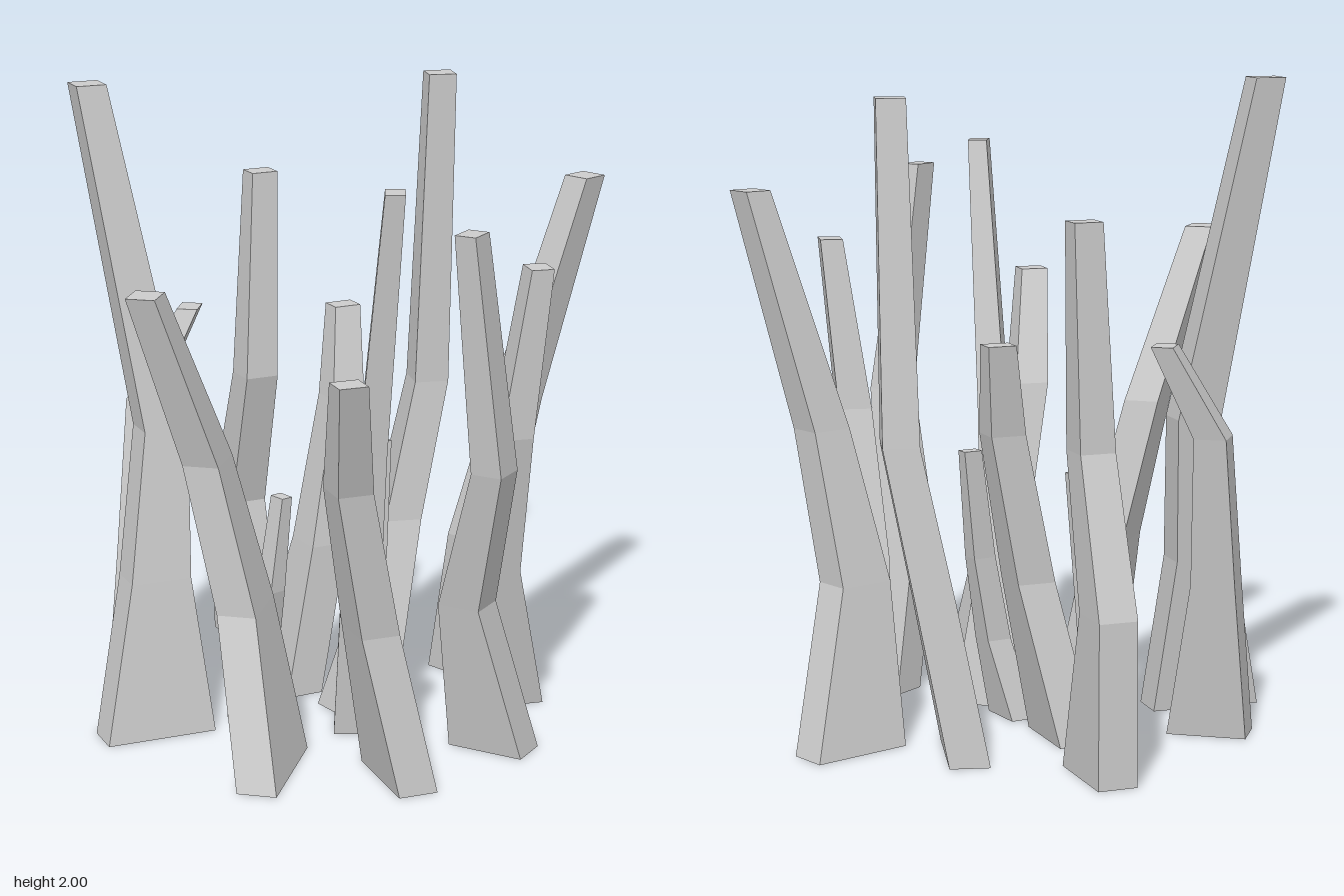
import * as THREE from 'three';

// Share of the base length and width kept at each of the four levels
const LENGTH_TAPER = [1, 0.55, 0.4, 0.27];
const WIDTH_TAPER = [1, 0.98, 0.9, 0.72];

// Each blade: height, turn of its long base side, base length, bow of the lower
// bend along that side, then [x, z] at the ground, the upper bend and the tip
const BLADES = [
  // back row
  [1.62, 0.61, 0.28, -0.1, [-0.56, -0.43], [-0.49, -0.375], [-0.49, -0.415]],
  [1.96, 0.86, 0.315, -0.02, [-0.1, -0.46], [0.02, -0.615], [0.07, -0.585]],
  [1.67, 1.85, 0.32, 0.07, [0.2, -0.63], [0.385, -0.52], [0.555, -0.635]],
  // middle rows
  [1.23, 0.595, 0.26, 0.04, [-0.235, -0.135], [-0.12, -0.29], [-0.155, -0.362]],
  [0.86, 0.45, 0.15, 0.02, [0.03, -0.025], [0.09, -0.11], [0.085, -0.17]],
  [1.48, -0.77, 0.26, -0.04, [0.43, -0.335], [0.55, -0.15], [0.62, -0.17]],
  [1.23, -0.355, 0.245, -0.015, [-0.58, 0.16], [-0.665, 0.02], [-0.565, -0.095]],
  [0.75, 1.93, 0.14, 0, [-0.19, 0.165], [-0.095, 0.205], [-0.07, 0.18]],
  [1.77, -0.495, 0.22, -0.03, [0.18, 0.07], [0.26, 0.205], [0.385, 0.305]],
  [1.68, 0, 0.245, -0.09, [0.585, 0.015], [0.67, 0.215], [0.64, 0.322]],
  // front row
  [2, -0.91, 0.35, -0.01, [-0.38, 0.43], [-0.435, 0.29], [-0.655, 0.325]],
  [1.49, 1.29, 0.39, -0.06, [0.09, 0.515], [-0.125, 0.52], [-0.192, 0.74]],
  [1.31, 0.69, 0.3, -0.03, [0.445, 0.37], [0.385, 0.58], [0.462, 0.718]],
];

// A box of three stacked sections, tapered and bent along its centre line
function makeBlade([height, turn, length, bow, foot, bend, tip], material) {
  const width = Math.min(0.122, length * 0.55);
  const c = Math.cos(turn), s = Math.sin(turn);

  // The lower bend lies halfway to the upper one, bowed along the long side
  const lowBend = [(foot[0] + bend[0]) / 2 + bow * c, (foot[1] + bend[1]) / 2 + bow * s];
  const path = [foot, lowBend, bend, tip];

  // Tall blades bend at shared heights, short ones in proportion
  const bends = height > 1 ? [0.49, 0.95] : [height * 0.29, height * 0.6];
  const levels = [0, ...bends, height];

  const geometry = new THREE.BoxGeometry(1, 1, 1, 1, 3, 1);
  const pos = geometry.attributes.position;
  for (let i = 0; i < pos.count; i++) {
    const k = Math.round((pos.getY(i) + 0.5) * 3);
    const u = pos.getX(i) * length * LENGTH_TAPER[k];
    const v = pos.getZ(i) * width * WIDTH_TAPER[k];
    pos.setXYZ(i, path[k][0] + u * c - v * s, levels[k], path[k][1] + u * s + v * c);
  }
  geometry.computeVertexNormals();
  const blade = new THREE.Mesh(geometry, material);
  blade.name = 'blade';
  return blade;
}

export function createModel() {
  const model = new THREE.Group();
  model.name = 'grassTuft';
  const material = new THREE.MeshStandardMaterial({ color: 0xcccccc, flatShading: true });
  for (const spec of BLADES) model.add(makeBlade(spec, material));
  return model;
}
